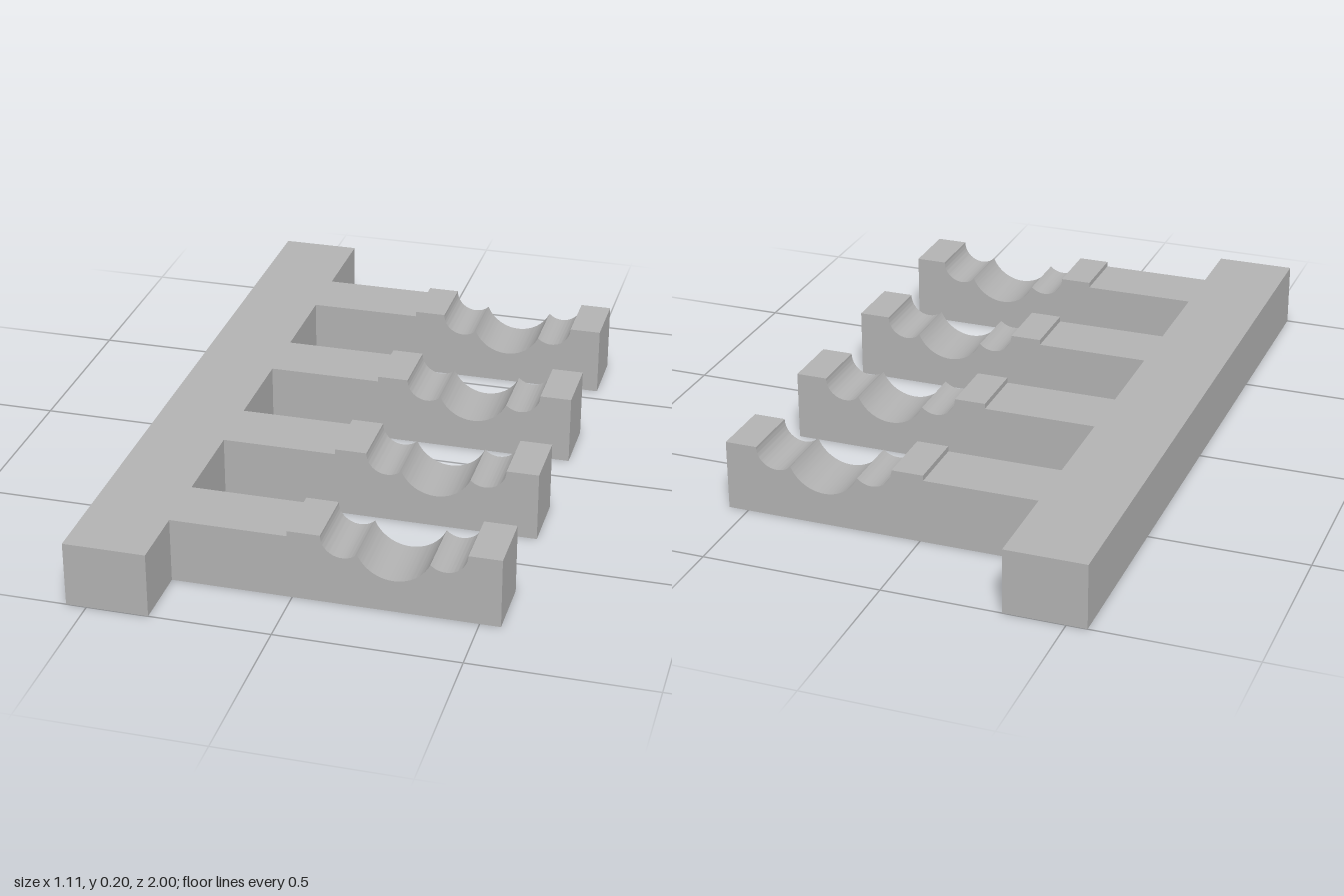
import * as THREE from 'three';
import { toCreasedNormals } from 'three/addons/utils/BufferGeometryUtils.js';

const SPINE = { left: -0.556, right: -0.331, height: 0.182 };
const ARM = { step: -0.012, end: 0.556, top: 0.197, width: 0.18 };
const CRADLE = { x: 0.272, radius: 0.105, sideRadius: 0.058, spacing: 0.137 };

// Side profile of an arm: a raised pad with one large and two small round notches
function armProfile() {
  const { x, radius: R, sideRadius: r, spacing: d } = CRADLE;
  const a = (d * d + r * r - R * R) / (2 * d); // where neighbouring notches meet
  const h = Math.sqrt(r * r - a * a);
  const small = Math.atan2(h, a);
  const large = Math.atan2(h, d - a);

  const s = new THREE.Shape();
  s.moveTo(SPINE.right, 0);
  s.lineTo(SPINE.right, SPINE.height);
  s.lineTo(ARM.step, SPINE.height);
  s.lineTo(ARM.step, ARM.top);
  s.lineTo(x - d - r, ARM.top);
  s.absarc(x - d, ARM.top, r, Math.PI, 2 * Math.PI - small, false);
  s.absarc(x, ARM.top, R, Math.PI + large, 2 * Math.PI - large, false);
  s.absarc(x + d, ARM.top, r, Math.PI + small, 2 * Math.PI, false);
  s.lineTo(ARM.end, ARM.top);
  s.lineTo(ARM.end, 0);
  s.closePath();
  return s;
}

export function createModel() {
  const group = new THREE.Group();
  group.name = 'cradleRack';
  const grey = new THREE.MeshStandardMaterial({ color: 0xb2b2b2 });
  grey.name = 'grey';

  // Long bar that joins the arms
  const width = SPINE.right - SPINE.left;
  const spine = new THREE.Mesh(new THREE.BoxGeometry(width, SPINE.height, 2), grey);
  spine.name = 'spine';
  spine.position.set(SPINE.left + width / 2, SPINE.height / 2, 0);
  group.add(spine);

  // Four evenly spaced notched arms
  const armGeometry = toCreasedNormals(
    new THREE.ExtrudeGeometry(armProfile(), { depth: ARM.width, bevelEnabled: false, curveSegments: 24 }),
    Math.PI / 6
  );
  for (let i = 0; i < 4; i++) {
    const arm = new THREE.Mesh(armGeometry, grey);
    arm.name = `arm${i + 1}`;
    arm.position.z = -0.73 + i * 0.455;
    group.add(arm);
  }
  return group;
}
